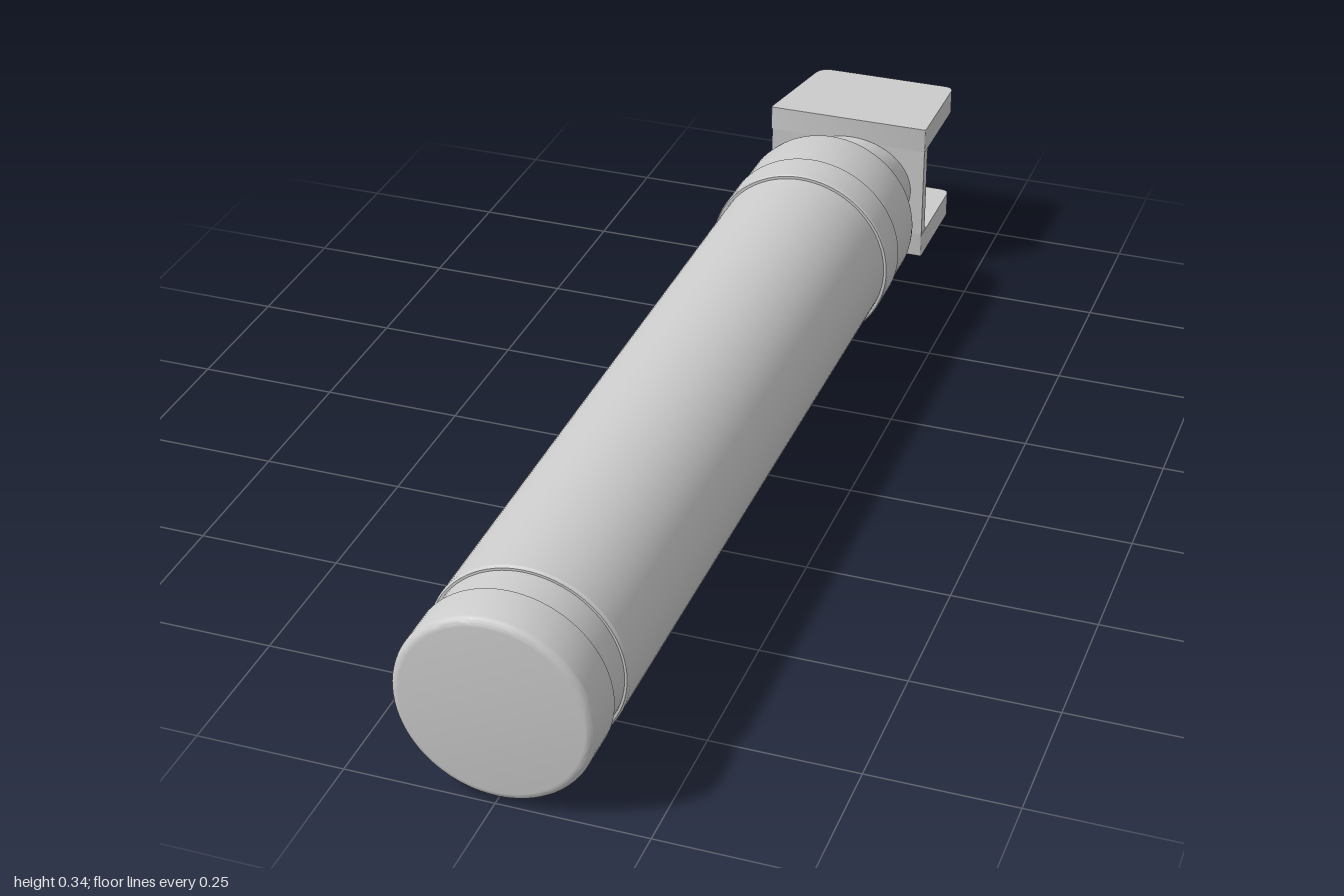
import * as THREE from 'three';
import { toCreasedNormals } from 'three/addons/utils/BufferGeometryUtils.js';

const AXIS_Y = 0.172;
const material = new THREE.MeshStandardMaterial({ color: 0xcccccc });

function part(name, geometry, crease = 0.5) {
  const mesh = new THREE.Mesh(toCreasedNormals(geometry, crease), material);
  mesh.name = name;
  return mesh;
}

// Turned part along z; points are [radius, z] from back to front.
function turned(name, points) {
  const geometry = new THREE.LatheGeometry(points.map(([r, z]) => new THREE.Vector2(r, z)), 80);
  geometry.rotateX(Math.PI / 2);
  return part(name, geometry);
}

// Quarter-round from angle a to b about (r, z).
function arc(r, z, radius, a, b, n = 6) {
  return Array.from({ length: n + 1 }, (_, i) => {
    const t = a + (b - a) * i / n;
    return [r + radius * Math.cos(t), z + radius * Math.sin(t)];
  });
}

// Polygon with rounded corners; points are [x, y, cornerRadius].
function roundedShape(points) {
  const shape = new THREE.Shape();
  points.forEach(([x, y, radius], i) => {
    const corner = new THREE.Vector2(x, y);
    const toward = (p) => new THREE.Vector2(p[0], p[1]).sub(corner).setLength(radius).add(corner);
    const a = toward(points[(i + points.length - 1) % points.length]);
    const b = toward(points[(i + 1) % points.length]);
    if (i === 0) shape.moveTo(a.x, a.y);
    else shape.lineTo(a.x, a.y);
    if (radius > 0) shape.quadraticCurveTo(x, y, b.x, b.y);
  });
  shape.closePath();
  return shape;
}

function extrude(shape, depth) {
  return new THREE.ExtrudeGeometry(shape, { depth, bevelEnabled: false, curveSegments: 6 });
}

export function createModel() {
  const model = new THREE.Group();
  model.name = 'cylinderWithClevis';
  const barrel = new THREE.Group();
  barrel.name = 'barrel';
  barrel.position.y = AXIS_Y;
  model.add(barrel);

  // Long tube, recessed groove and rounded end cap
  barrel.add(turned('tube', [
    [0, -0.48], [0.164, -0.48], [0.164, 0.853], [0.161, 0.858], [0, 0.858],
  ]));
  barrel.add(turned('groove', [[0.157, 0.85], [0.157, 0.92]]));
  barrel.add(turned('endCap', [
    [0, 0.915], [0.161, 0.915], [0.164, 0.918],
    ...arc(0.149, 0.985, 0.015, 0, Math.PI / 2), [0, 1],
  ]));

  // Collar ring and shoulder, sweeping down into the neck
  barrel.add(turned('collarRing', [
    [0, -0.548], [0.169, -0.548], [0.171, -0.546], [0.171, -0.477], [0.169, -0.474], [0, -0.474],
  ]));
  const neckCurve = new THREE.SplineCurve([
    [0.099, -0.805], [0.099, -0.76], [0.101, -0.74], [0.113, -0.715],
    [0.133, -0.693], [0.153, -0.677], [0.164, -0.664], [0.168, -0.645],
  ].map(([r, z]) => new THREE.Vector2(r, z)));
  const neck = turned('shoulderAndNeck', [
    ...neckCurve.getPoints(28).map((p) => [p.x, p.y]), [0.168, -0.54],
  ]);
  // The neck widens sideways where it meets the clevis
  const pos = neck.geometry.attributes.position;
  for (let i = 0; i < pos.count; i++) {
    const t = Math.max(0, (-0.76 - pos.getZ(i)) / 0.045);
    pos.setX(i, pos.getX(i) * (1 + 0.28 * t * t));
  }
  barrel.add(neck);

  // U-shaped clevis, open at both sides and at the back
  const clevis = new THREE.Group();
  clevis.name = 'clevis';
  clevis.position.y = AXIS_Y;
  model.add(clevis);

  // Plan outline in x and -z, with one slanted side
  const plan = roundedShape([
    [-0.165, 0.8, 0.004], [0.147, 0.8, 0.004], [0.147, 1, 0.018], [-0.126, 1, 0.025],
  ]);
  for (const [name, y] of [['upperPlate', 0.09], ['lowerPlate', -0.137]]) {
    const plate = extrude(plan, 0.047);
    plate.rotateX(-Math.PI / 2);
    plate.translate(0, y, 0);
    clevis.add(part(name, plate));
  }

  // Web between the plates, filleted into them
  const web = new THREE.Shape();
  web.moveTo(0.8, -0.091);
  web.lineTo(0.838, -0.091);
  web.quadraticCurveTo(0.823, -0.09, 0.823, -0.075);
  web.lineTo(0.823, 0.075);
  web.quadraticCurveTo(0.823, 0.09, 0.838, 0.091);
  web.lineTo(0.8, 0.091);
  web.closePath();
  const webGeometry = extrude(web, 0.308);
  webGeometry.rotateY(Math.PI / 2);
  webGeometry.translate(-0.162, 0, 0);
  clevis.add(part('web', webGeometry));

  // Fastener head on the inner face of the web
  clevis.add(turned('fastenerHead', [
    [0, -0.849], [0.051, -0.849], [0.055, -0.845], [0.055, -0.815],
  ]));

  // Cross pin joining the two plates
  const pin = part('crossPin', new THREE.CylinderGeometry(0.023, 0.023, 0.2, 32));
  pin.position.set(-0.073, 0, -0.945);
  clevis.add(pin);

  return model;
}
